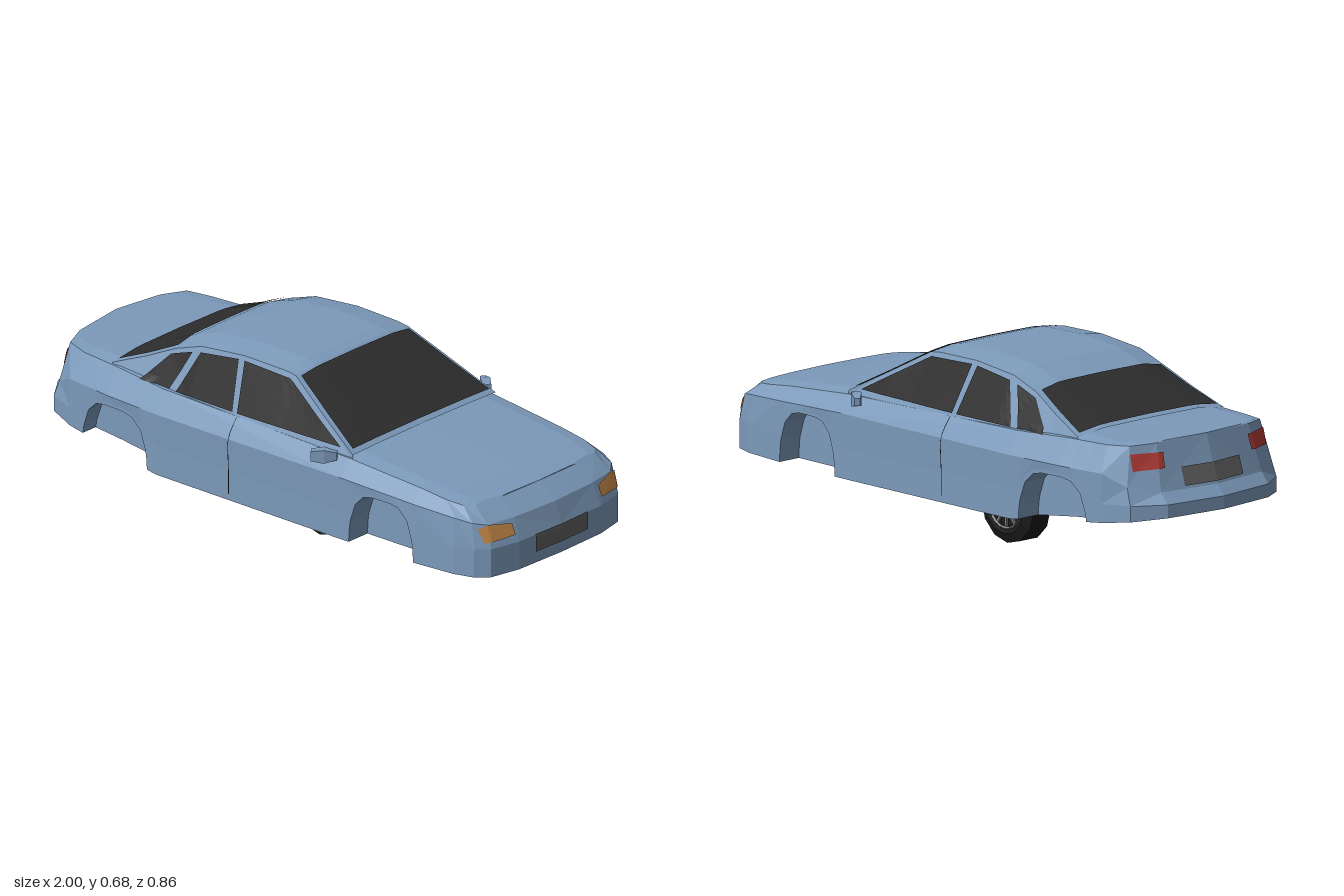
import * as THREE from 'three';

const paint = new THREE.MeshStandardMaterial({ color: 0x7c9abb, flatShading: true });
const flat = (color) => new THREE.MeshStandardMaterial({ color, flatShading: true, side: THREE.DoubleSide });
const glass = flat(0x2d2d2d), amber = flat(0xbd8445), red = flat(0xb03a35), plateGrey = flat(0x606060);
const rubber = flat(0x1c1c1c), rimGrey = flat(0x777777);
const { lerp, clamp } = THREE.MathUtils;

// Interpolates a row of a table whose first column falls from row to row
function sample(table, x) {
  let i = 0;
  while (i < table.length - 2 && x < table[i + 1][0]) i++;
  const a = table[i], b = table[i + 1], t = (x - a[0]) / (b[0] - a[0]);
  return a.map((v, k) => lerp(v, b[k], t));
}

// Surface through rows of points; mirrored adds the z < 0 half
function loft(rows, mirrored) {
  const pos = [];
  const tri = (a, b, c) => {
    pos.push(...a, ...b, ...c);
    if (mirrored) for (const p of [a, c, b]) pos.push(p[0], p[1], -p[2]);
  };
  for (let i = 0; i < rows.length - 1; i++) {
    for (let j = 0; j < rows[i].length - 1; j++) {
      const a = rows[i][j], b = rows[i + 1][j], c = rows[i + 1][j + 1], d = rows[i][j + 1];
      tri(a, d, c);
      tri(a, c, b);
    }
  }
  const g = new THREE.BufferGeometry();
  g.setAttribute('position', new THREE.Float32BufferAttribute(pos, 3));
  g.computeVertexNormals();
  return g;
}

function add(parent, name, geometry, material) {
  const mesh = new THREE.Mesh(geometry, material);
  mesh.name = name;
  parent.add(mesh);
  return mesh;
}

// Lower body columns from nose centre to tail centre:
// sill x, z, y | crease x, z, y | shoulder x, z, y
const COLUMNS = [
  [1, 0, .203, .975, 0, .375, .905, 0, .427],
  [.994, .2, .203, .965, .19, .375, .9, .18, .425],
  [.97, .31, .203, .945, .3, .375, .885, .29, .425],
  [.93, .348, .203, .915, .34, .385, .86, .32, .427],
  [.86, .37, .203, .86, .362, .395, .8, .335, .435],
  [.7, .385, .203, .7, .382, .405, .7, .34, .448],
  [.4, .393, .203, .4, .398, .42, .4, .354, .475],
  [-.4, .39, .207, -.4, .395, .42, -.4, .35, .493],
  [-.62, .378, .238, -.62, .38, .42, -.62, .328, .503],
  [-.8, .355, .257, -.8, .355, .42, -.78, .31, .505],
  [-.9, .32, .27, -.88, .315, .38, -.86, .285, .51],
  [-.97, .22, .28, -.938, .22, .36, -.895, .2, .514],
  [-1, 0, .282, -.968, 0, .36, -.915, 0, .52],
];
// Height of bonnet and boot lid along the centre line
const DECK = [[.905, .428], [.8, .447], [.7, .46], [.4, .49], [-.4, .5], [-.62, .522], [-.78, .513], [-.915, .52]];
const ARCHES = [[.565, .135], [-.59, .15]];

function bodyGeometry() {
  const xs = COLUMNS.map((c) => c[0]);
  for (const [cx, r] of ARCHES)
    for (const t of [0, .3, .55, .8, .95, .98, .999, 1.001]) xs.push(cx + r * t, cx - r * t);
  const sorted = [...new Set(xs)].sort((a, b) => b - a);
  return loft(sorted.map((x) => {
    const [, zb, floor, xc, zc, yc, xs2, zs, ys] = sample(COLUMNS, x);
    const deck = sample(DECK, xs2)[1];
    // The sill rises over the wheels and steps inward to form the wells
    let sill = floor;
    for (const [cx, r] of ARCHES) {
      const t = Math.abs(x - cx) / r;
      if (t < 1) sill = Math.max(sill, .2 + .183 * Math.sqrt(1 - t ** 4));
    }
    const zin = Math.min(.3, zb * .9);
    const bumper = .3 + .025 * clamp(-x, 0, 1);
    return [[x, floor, 0], [x, floor, zin], [x, sill, zin], [x, sill, zb],
      [x, Math.max(bumper, sill + .3 * (yc - sill)), zb], [xc, yc, zc], [xs2, ys, zs],
      [xs2, lerp(ys, deck, .7), zs * .85], [xs2, deck, 0]];
  }), true);
}

// Cabin stations: x, belt z, roof edge z, roof edge y, roof centre y
const CABIN = [
  [.41, .35, .348, .487, .492], [.25, .356, .312, .572, .583], [.1, .357, .274, .655, .668],
  [.06, .358, .274, .661, .677], [-.12, .358, .276, .665, .682], [-.3, .354, .278, .648, .668],
  [-.41, .348, .28, .611, .632], [-.52, .338, .298, .56, .577], [-.65, .324, .318, .508, .524],
];

function cabinGeometry() {
  return loft(CABIN.map(([x, zb, ze, ye, yc]) =>
    [[x, .47, zb], [x, ye, ze], [x, yc - .002, ze * .65], [x, yc, 0]]), true);
}

// Thin patch laid on the shell: corners [a, b] seen along an axis from side s
function decal(parent, shells, name, material, axis, s, corners, nx = 10, ny = 5) {
  const [bl, br, tr, tl] = corners, ray = new THREE.Raycaster();
  const place = (a, b, d) => axis === 'x' ? [d, b, a] : axis === 'y' ? [a, d, b] : [a, b, d];
  const dir = new THREE.Vector3(...place(0, 0, -s));
  let depth = 0;
  const rows = [];
  for (let i = 0; i <= nx; i++) {
    const row = [], u = i / nx;
    for (let j = 0; j <= ny; j++) {
      const v = j / ny;
      const [a, b] = [0, 1].map((k) => lerp(lerp(bl[k], br[k], u), lerp(tl[k], tr[k], u), v));
      ray.set(new THREE.Vector3(...place(a + 1.3e-4, b + 1.7e-4, 3 * s)), dir);
      const hit = ray.intersectObjects(shells)[0];
      if (hit) depth = hit.point[axis] + s * .005;
      row.push(place(a, b, depth));
    }
    rows.push(row);
  }
  return add(parent, name, loft(rows, false), material);
}

// Single road wheel, rim facing -z
function wheel() {
  const g = new THREE.Group();
  g.name = 'wheel';
  const profile = [[0, .045], [.124, .045], [.124, -.03], [.092, -.045], [.078, -.042], [.074, -.025], [0, -.025]];
  const tyre = new THREE.LatheGeometry(profile.map(([r, y]) => new THREE.Vector2(r, y)), 12);
  add(g, 'tyre', tyre.rotateX(Math.PI / 2), rubber);
  add(g, 'rimRing', new THREE.TorusGeometry(.074, .005, 4, 20).translate(0, 0, -.039), rimGrey);
  add(g, 'hub', new THREE.CylinderGeometry(.018, .018, .014, 10).rotateX(Math.PI / 2).translate(0, 0, -.034), rimGrey);
  for (let i = 0; i < 10; i++) {
    const spoke = new THREE.BoxGeometry(.01, .06, .008).translate(0, .044, -.034);
    add(g, 'spoke', spoke.rotateZ(i * Math.PI / 5), rimGrey);
  }
  g.position.y = .124;
  return g;
}

// Door mirror, narrower toward both ends
function mirrorGeometry() {
  const g = new THREE.BoxGeometry(.034, .046, .085, 1, 1, 2), p = g.attributes.position;
  for (let i = 0; i < p.count; i++) {
    const k = p.getZ(i) > .01 ? .75 : p.getZ(i) < -.01 ? .55 : 1;
    p.setXYZ(i, p.getX(i) * k, p.getY(i) * k, p.getZ(i));
  }
  return g;
}

export function createModel() {
  const car = new THREE.Group();
  car.name = 'car';
  const body = add(car, 'body', bodyGeometry(), paint);
  const cabin = add(car, 'cabin', cabinGeometry(), paint);
  car.updateMatrixWorld(true);
  const shells = [body, cabin];
  const put = (...args) => decal(car, shells, ...args);

  // Front and rear glass
  put('windscreen', glass, 'y', 1, [[.396, -.333], [.396, .333], [.112, .262], [.112, -.262]], 14, 8);
  put('rearWindow', glass, 'y', 1, [[-.638, -.302], [-.638, .302], [-.415, .262], [-.415, -.262]], 14, 8);

  for (const s of [1, -1]) {
    const side = s > 0 ? 'left' : 'right';
    // Side glass and door seam
    put(side + 'FrontWindow', glass, 'z', s, [[-.085, .496], [.355, .498], [.085, .645], [-.11, .653]]);
    put(side + 'RearWindow', glass, 'z', s, [[-.355, .496], [-.105, .496], [-.135, .652], [-.295, .632]]);
    put(side + 'QuarterWindow', glass, 'z', s, [[-.51, .497], [-.385, .496], [-.33, .624], [-.42, .594]]);
    put(side + 'DoorSeam', glass, 'z', s, [[-.084, .23], [-.081, .23], [-.081, .485], [-.084, .485]], 1, 10);
    // Lamps
    put(side + 'Headlight', amber, 'x', 1, [[.21 * s, .325], [.325 * s, .321], [.333 * s, .366], [.21 * s, .362]]);
    put(side + 'HeadlightTop', amber, 'x', 1, [[.21 * s, .362], [.333 * s, .366], [.305 * s, .375], [.29 * s, .375]], 10, 2);
    put(side + 'TailLight', red, 'x', -1, [[.19 * s, .435], [.292 * s, .43], [.292 * s, .485], [.185 * s, .485]]);
    // Mirrors
    const mirror = add(car, side + 'Mirror', mirrorGeometry(), paint);
    mirror.position.set(.325, .477, .393 * s);
    mirror.rotation.y = -.9 * s;
  }

  put('frontPlate', plateGrey, 'x', 1, [[-.127, .243], [.127, .243], [.127, .304], [-.127, .304]]);
  put('rearPlate', plateGrey, 'x', -1, [[-.127, .37], [.127, .37], [.127, .43], [-.127, .43]]);
  car.add(wheel());
  return car;
}
